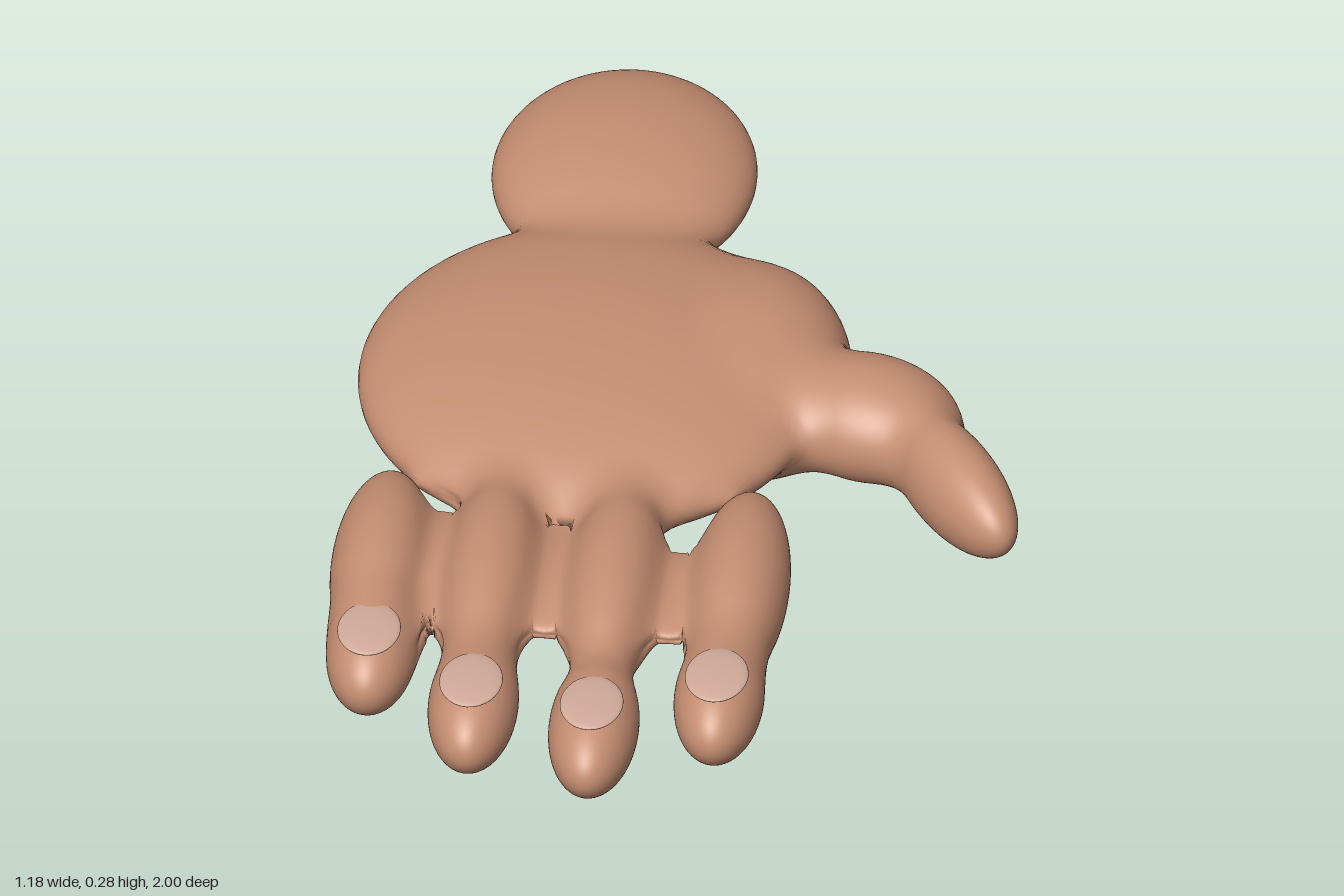
import * as THREE from 'three';

// Flesh lobes: name, centre, radii, turn about y
const lobes = [];
const lobe = (name, c, r, turn = 0) => lobes.push({ name, c, r, cos: Math.cos(turn), sin: Math.sin(turn) });

lobe('palm', [-0.18, 0.162, -0.14], [0.405, 0.118, 0.42]);
lobe('wrist', [-0.18, 0.163, -0.73], [0.23, 0.102, 0.27]);
lobe('thumbBase', [0.11, 0.132, -0.23], [0.155, 0.132, 0.25], 0.12);
lobe('thumbMiddle', [0.305, 0.155, -0.09], [0.17, 0.104, 0.125], -0.3);
lobe('thumbTip', [0.468, 0.155, 0.08], [0.075, 0.094, 0.2], 0.58);

// x, z and half length of the knuckle segment, then of the tip, then nail z
const fingers = [
  { name: 'index', x: 0.132, z: 0.43, l: 0.25, tx: 0.125, tz: 0.725, tl: 0.155, nail: 0.77 },
  { name: 'middle', x: -0.085, z: 0.45, l: 0.27, tx: -0.083, tz: 0.83, tl: 0.167, nail: 0.87 },
  { name: 'ring', x: -0.3, z: 0.45, l: 0.27, tx: -0.297, tz: 0.785, tl: 0.16, nail: 0.825 },
  { name: 'little', x: -0.493, z: 0.42, l: 0.24, tx: -0.487, tz: 0.65, tl: 0.142, nail: 0.695 },
];
for (const f of fingers) {
  lobe(f.name + 'Knuckle', [f.x, 0.16, f.z], [0.086, 0.1, f.l]);
  lobe(f.name + 'Tip', [f.tx, 0.148, f.tz], [0.078, 0.088, f.tl]);
}

// Thin webs that join neighbouring fingers
lobe('innerWeb', [0.023, 0.165, 0.475], [0.045, 0.018, 0.11]);
lobe('centreWeb', [-0.192, 0.165, 0.45], [0.045, 0.02, 0.14]);
lobe('outerWeb', [-0.397, 0.165, 0.43], [0.04, 0.02, 0.14]);

// Approximate signed distance to one lobe
function distance({ c, r, cos, sin }, p) {
  const dx = p.x - c[0], dy = p.y - c[1], dz = p.z - c[2];
  const x = (dx * cos - dz * sin) / r[0], y = dy / r[1], z = (dx * sin + dz * cos) / r[2];
  const k0 = Math.hypot(x, y, z);
  const k1 = Math.hypot(x / r[0], y / r[1], z / r[2]);
  return k1 < 1e-9 ? -Math.min(...r) : (k0 * (k0 - 1)) / k1;
}

// Soft union of all lobes
const BLEND = 0.05;
function field(p) {
  let d = 1e3;
  for (const l of lobes) {
    const e = distance(l, p);
    const h = Math.max(BLEND - Math.abs(d - e), 0) / BLEND;
    d = Math.min(d, e) - (h * h * BLEND) / 4;
  }
  return d;
}

const probe = new THREE.Vector3();
function gradient(p, out) {
  const s = 0.0015;
  for (const axis of ['x', 'y', 'z']) {
    probe.copy(p)[axis] += s;
    const a = field(probe);
    probe[axis] -= 2 * s;
    out[axis] = a - field(probe);
  }
  return out.normalize();
}

// A sphere stretched to its lobe, then eased out onto the soft union
function lobeGeometry(l) {
  const geo = new THREE.SphereGeometry(1, 64, 48);
  geo.rotateX(Math.PI / 2);
  geo.scale(...l.r);
  geo.rotateY(Math.atan2(l.sin, l.cos));
  geo.translate(...l.c);
  geo.computeVertexNormals();
  const pos = geo.attributes.position, nor = geo.attributes.normal;
  const p = new THREE.Vector3(), n = new THREE.Vector3();
  for (let i = 0; i < pos.count; i++) {
    p.fromBufferAttribute(pos, i);
    // points buried well inside another lobe stay hidden where they are
    if (lobes.some((o) => o !== l && distance(o, p) < -0.025)) continue;
    for (let step = 0; step < 5; step++) {
      const f = field(p);
      if (Math.abs(f) < 0.0004) break;
      gradient(p, n);
      p.addScaledVector(n, -THREE.MathUtils.clamp(f, -0.02, 0.02));
    }
    gradient(p, n);
    pos.setXYZ(i, p.x, p.y, p.z);
    nor.setXYZ(i, n.x, n.y, n.z);
  }
  return geo;
}

export function createModel() {
  const hand = new THREE.Group();
  hand.name = 'hand';
  const skin = new THREE.MeshStandardMaterial({ color: 0xc68e72 });
  const nailColor = new THREE.MeshStandardMaterial({ color: 0xd2ab9a });

  for (const l of lobes) {
    const mesh = new THREE.Mesh(lobeGeometry(l), skin);
    mesh.name = l.name;
    hand.add(mesh);
  }

  // Flat oval nails
  for (const f of fingers) {
    const nail = new THREE.Mesh(new THREE.SphereGeometry(1, 32, 16), nailColor);
    nail.name = f.name + 'Nail';
    nail.scale.set(0.055, 0.009, 0.077);
    nail.position.set(f.tx, 0.232, f.nail);
    hand.add(nail);
  }
  return hand;
}
